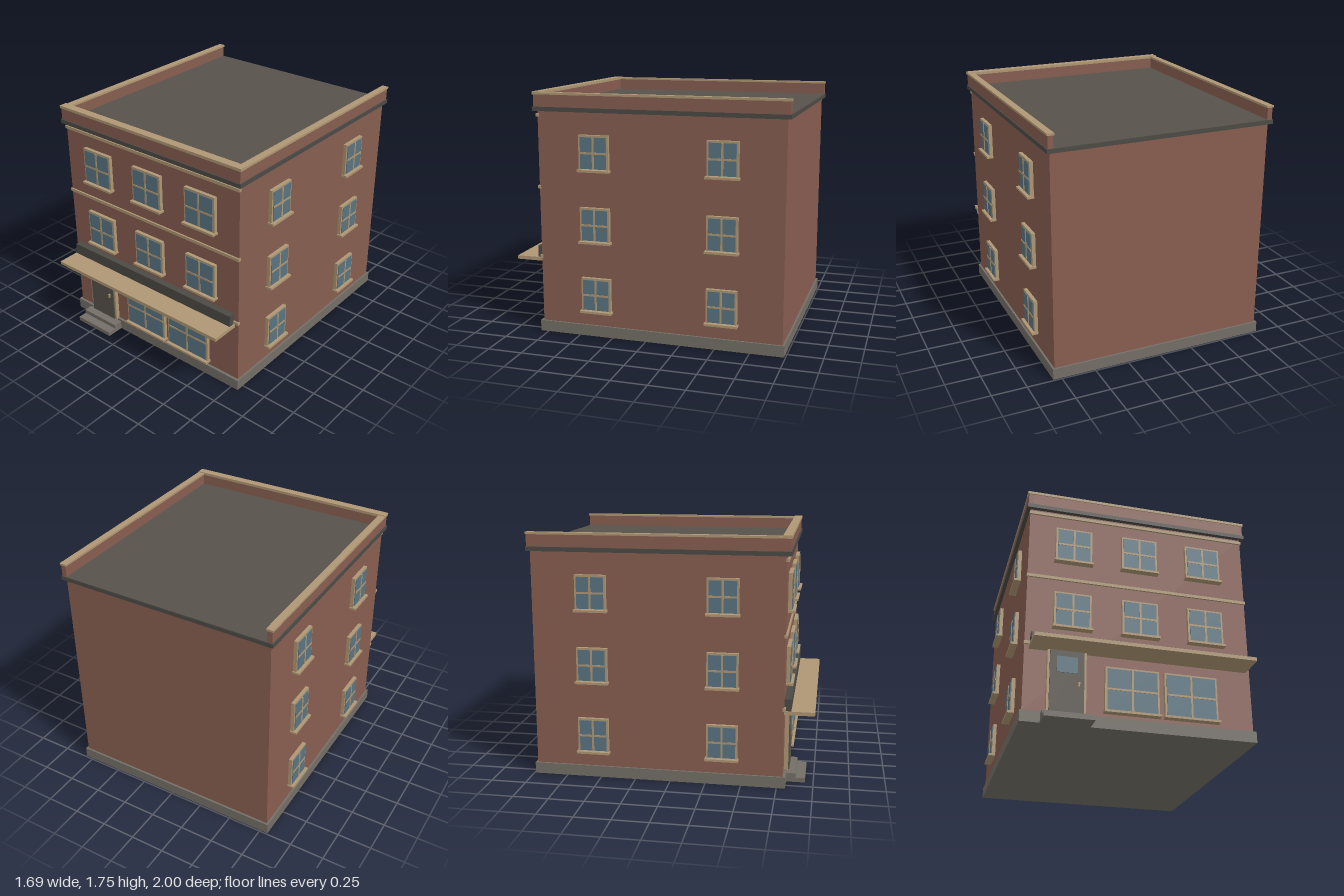
import * as THREE from 'three';

const material = (name, color) => {
  const m = new THREE.MeshStandardMaterial({ color });
  m.name = name;
  return m;
};

export function createModel() {
  const brick = material('brick', 0x875d50);
  const tan = material('tanTrim', 0xae9673);
  const glass = material('blueGlass', 0x597481);
  const stone = material('greyStone', 0x736e66);
  const dark = material('charcoal', 0x4c4a45);
  const roofing = material('roofGrey', 0x57524b);

  const building = new THREE.Group();
  building.name = 'building';

  // Box given by its lower and upper limits on each axis
  function box(parent, name, mat, [x0, x1], [y0, y1], [z0, z1]) {
    const mesh = new THREE.Mesh(new THREE.BoxGeometry(x1 - x0, y1 - y0, z1 - z0), mat);
    mesh.position.set((x0 + x1) / 2, (y0 + y1) / 2, (z0 + z1) / 2);
    mesh.name = name;
    parent.add(mesh);
    return mesh;
  }

  // Window facing +z, with its origin at the bottom centre on the wall face
  function makeWindow(name, w, h) {
    const g = new THREE.Group();
    g.name = name;
    const a = w / 2, t = 0.014, m = 0.007;
    box(g, 'glass', glass, [-a + t, a - t], [t, h - t], [0, 0.031]);
    for (const s of [-1, 1]) {
      const x = s * (a - t / 2);
      box(g, 'frameJamb', tan, [x - t / 2, x + t / 2], [0, h], [0, 0.026]);
    }
    box(g, 'frameHead', tan, [-a + t, a - t], [h - t, h], [0, 0.026]);
    box(g, 'sill', tan, [-a - 0.008, a + 0.008], [-0.008, 0.008], [0, 0.05]);
    box(g, 'verticalBar', tan, [-m, m], [t, h - t], [0.02, 0.035]);
    box(g, 'horizontalBar', tan, [-a + t, a - t], [h / 2 - m, h / 2 + m], [0.02, 0.034]);
    building.add(g);
    return g;
  }

  // Main masses
  box(building, 'plinth', stone, [-0.81, 0.81], [0, 0.08], [-0.99, 0.81]);
  box(building, 'walls', brick, [-0.795, 0.795], [0.08, 1.615], [-0.975, 0.79]);
  box(building, 'roofCornice', dark, [-0.82, 0.82], [1.615, 1.645], [-1, 0.82]);
  box(building, 'roofDeck', roofing, [-0.775, 0.775], [1.64, 1.648], [-1, 0.765]);

  // Parapet on the front and sides, open at the back
  for (const s of [-1, 1]) {
    const side = s < 0 ? 'right' : 'left';
    const span = (a, b) => (s < 0 ? [-b, -a] : [a, b]);
    box(building, side + 'Parapet', brick, span(0.775, 0.812), [1.645, 1.73], [-0.995, 0.812]);
    box(building, side + 'Coping', tan, span(0.768, 0.818), [1.73, 1.745], [-1, 0.76]);
  }
  box(building, 'frontParapet', brick, [-0.775, 0.775], [1.645, 1.73], [0.765, 0.812]);
  box(building, 'frontCoping', tan, [-0.82, 0.82], [1.73, 1.75], [0.757, 0.818]);

  // Front string courses
  for (const y of [0.562, 1.074, 1.586])
    box(building, 'stringCourse', tan, [-0.8, 0.8], [y - 0.011, y + 0.011], [0.78, 0.802]);

  // Upper front windows
  for (const y of [0.693, 1.208])
    for (const x of [-0.477, 0, 0.477])
      makeWindow('frontWindow', 0.26, 0.269).position.set(x, y, 0.79);

  // Shop windows
  for (const x of [-0.0625, 0.35])
    makeWindow('shopWindow', 0.375, 0.322).position.set(x, 0.118, 0.79);

  // Side windows
  for (const s of [-1, 1])
    for (const y of [0.187, 0.699, 1.211])
      for (const z of [0.367, -0.55]) {
        const w = makeWindow('sideWindow', 0.219, 0.249);
        w.position.set(s * 0.795, y, z);
        w.rotation.y = s * Math.PI / 2;
      }

  // Door with frame, pane and handle
  const door = new THREE.Group();
  door.name = 'door';
  building.add(door);
  box(door, 'doorLeaf', roofing, [-0.626, -0.394], [0.075, 0.515], [0.78, 0.828]);
  box(door, 'doorJamb', tan, [-0.642, -0.626], [0.07, 0.53], [0.78, 0.82]);
  box(door, 'doorJamb', tan, [-0.394, -0.378], [0.07, 0.53], [0.78, 0.82]);
  box(door, 'doorHead', tan, [-0.626, -0.394], [0.515, 0.53], [0.78, 0.82]);
  box(door, 'doorPane', glass, [-0.58, -0.44], [0.357, 0.472], [0.826, 0.832]);
  box(door, 'doorHandle', tan, [-0.435, -0.424], [0.264, 0.296], [0.828, 0.84]);

  // Steps
  box(building, 'lowerStep', stone, [-0.676, -0.344], [0, 0.032], [0.8, 0.942]);
  box(building, 'upperStep', stone, [-0.676, -0.344], [0.032, 0.064], [0.8, 0.876]);

  // Shopfront fascia and canopy
  box(building, 'fascia', dark, [-0.757, 0.757], [0.544, 0.628], [0.79, 0.838]);
  box(building, 'canopy', tan, [-0.765, 0.765], [0.518, 0.544], [0.785, 1]);

  return building;
}
